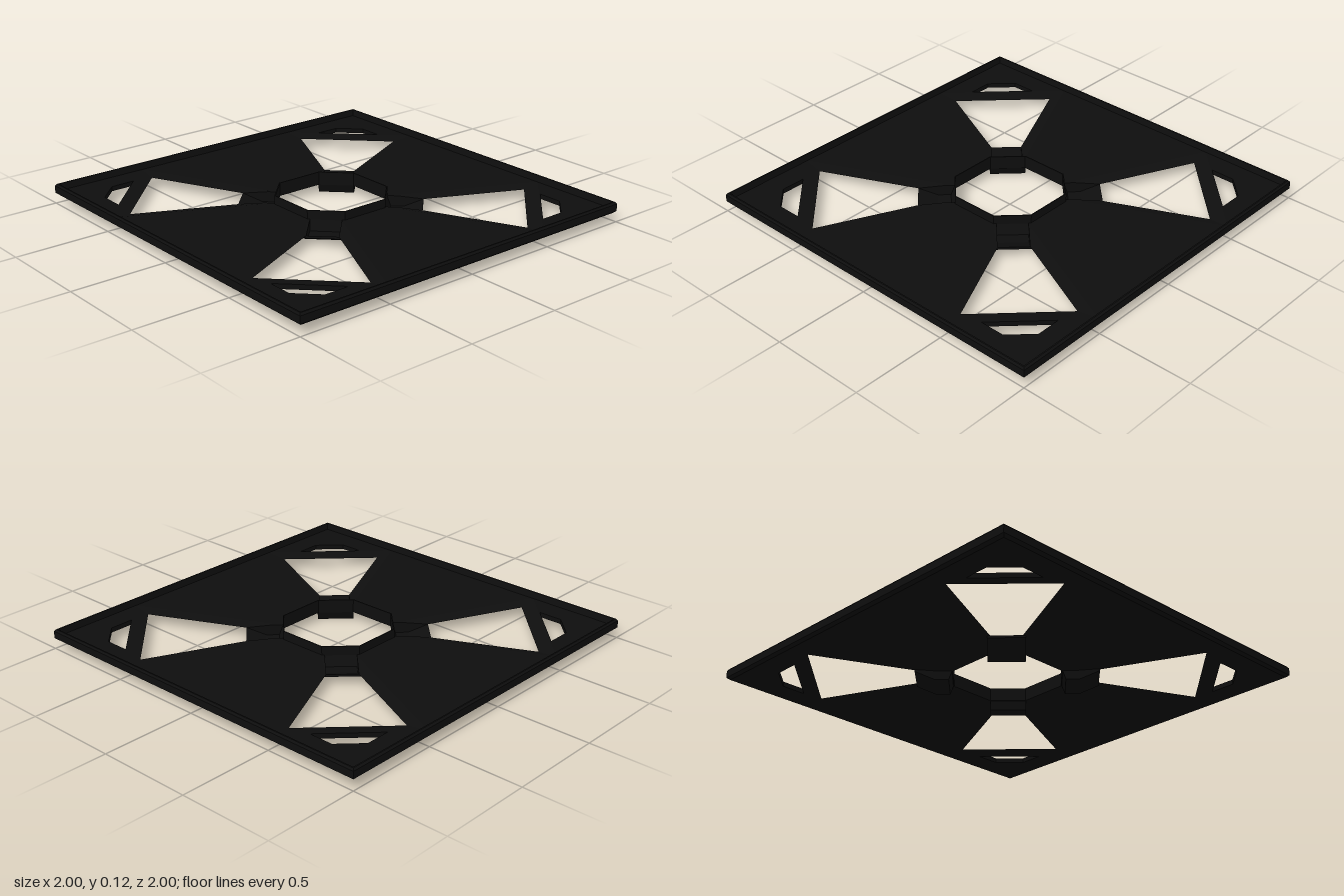
import * as THREE from 'three';

const BOTTOM = 0.045, SHEET = 0.07;
const black = new THREE.MeshStandardMaterial({ color: 0x0e0e0e, flatShading: true, side: THREE.DoubleSide });

const vec = ([x, y]) => new THREE.Vector2(x, y);
// Repeats a run of points in the four quadrants
const fourfold = (pts) => [0, 1, 2, 3].flatMap((q) =>
  pts.map((p) => vec(p).rotateAround(new THREE.Vector2(), q * Math.PI / 2)));

// Extrudes a flat plan upwards from y0 to y1
function slab(outline, holes, y0, y1) {
  const shape = new THREE.Shape(outline);
  holes.forEach((h) => shape.holes.push(new THREE.Path(h)));
  const g = new THREE.ExtrudeGeometry(shape, { depth: y1 - y0, bevelEnabled: false });
  return g.rotateX(-Math.PI / 2).translate(0, y0, 0);
}

function add(parent, name, geometry) {
  const mesh = new THREE.Mesh(geometry, black);
  mesh.name = name;
  parent.add(mesh);
  return mesh;
}

// Tapered lip on three sides of a window, thick outside and thin at the opening
function windowLip() {
  const outer = [[0.30, 0.17], [0.98, 0.49], [0.49, 0.98], [0.17, 0.30]];
  const inner = [[0.38, 0.27], [0.87, 0.50], [0.50, 0.87], [0.27, 0.38]];
  const mid = (BOTTOM + SHEET) / 2, pos = [];
  for (let i = 0; i < 3; i++) {
    for (const y of [SHEET, BOTTOM]) {
      const a = [outer[i][0], y, outer[i][1]], b = [outer[i + 1][0], y, outer[i + 1][1]];
      const c = [inner[i + 1][0], mid, inner[i + 1][1]], d = [inner[i][0], mid, inner[i][1]];
      if (y === SHEET) pos.push(...a, ...d, ...c, ...a, ...c, ...b);
      else pos.push(...a, ...c, ...d, ...a, ...b, ...c);
    }
  }
  const g = new THREE.BufferGeometry();
  g.setAttribute('position', new THREE.Float32BufferAttribute(pos, 3));
  g.computeVertexNormals();
  return g;
}

// Side profile (radius, height) extruded across the foot
function profileSlab(points, t0, t1) {
  const g = new THREE.ExtrudeGeometry(new THREE.Shape(points.map(vec)), { depth: t1 - t0, bevelEnabled: false });
  return g.translate(0, 0, t0);
}

export function createModel() {
  const model = new THREE.Group();
  model.name = 'squareGuardPlate';

  // Recessed sheet with the central opening, four windows and corner slots
  const e = 0.985;
  const opening = fourfold([[0.26, 0.13], [0.30, 0.17], [0.98, 0.49], [0.49, 0.98], [0.17, 0.30], [0.13, 0.26]]);
  const slots = [0, 1, 2, 3].map((q) =>
    fourfold([[0.86, 0.62], [0.86, 0.75], [0.75, 0.86], [0.62, 0.86]]).slice(q * 4, q * 4 + 4));
  add(model, 'sheet', slab(fourfold([[e, e]]), [opening, ...slots], BOTTOM, SHEET));

  // Raised outer rim with chamfered edges
  const rim = [[0.98, BOTTOM], [0.985, BOTTOM], [1, 0.057], [1, 0.095], [0.992, 0.105], [0.985, 0.105], [0.98, SHEET], [0.98, BOTTOM]];
  const rimGeometry = new THREE.LatheGeometry(rim.map(([r, y]) => new THREE.Vector2(r * Math.SQRT2, y)), 4);
  add(model, 'outerRim', rimGeometry.rotateY(Math.PI / 4));

  // Thin octagonal collar round the centre
  const collar = (s) => fourfold([[0.26 * s, 0.13 * s], [0.13 * s, 0.26 * s]]);
  add(model, 'centreCollar', slab(collar(1), [collar(0.98)], BOTTOM, 0.115));

  // Window lips and hollow feet on the diagonals
  const floor = [[0.275, BOTTOM], [0.29, 0], [0.36, 0], [0.46, BOTTOM], [0.46, 0.058], [0.36, 0.015], [0.295, 0.015], [0.275, SHEET]];
  const cheek = [[0.275, SHEET], [0.275, BOTTOM], [0.29, 0], [0.36, 0], [0.46, BOTTOM], [0.46, 0.058], [0.33, SHEET]];
  for (let i = 0; i < 4; i++) {
    const corner = new THREE.Group();
    corner.name = 'corner' + (i + 1);
    corner.rotation.y = i * Math.PI / 2;
    add(corner, 'windowLip', windowLip());
    const foot = new THREE.Group();
    foot.name = 'foot';
    foot.rotation.y = -Math.PI / 4;
    add(foot, 'footFloor', profileSlab(floor, -0.08, 0.08));
    add(foot, 'footCheekA', profileSlab(cheek, 0.078, 0.092));
    add(foot, 'footCheekB', profileSlab(cheek, -0.092, -0.078));
    corner.add(foot);
    model.add(corner);
  }
  return model;
}
